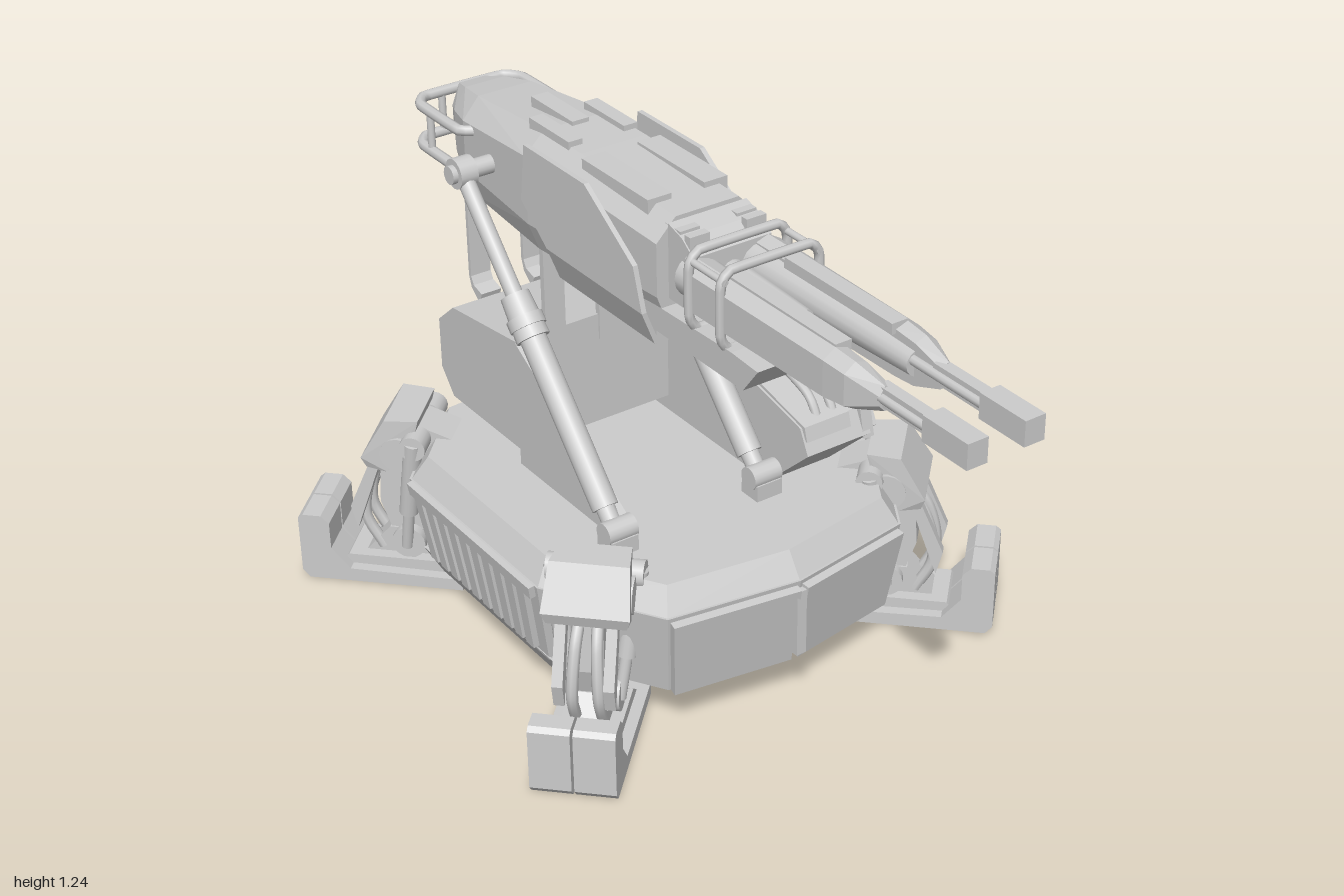
import * as THREE from 'three';
import { ConvexGeometry } from 'three/addons/geometries/ConvexGeometry.js';

const flat = new THREE.MeshStandardMaterial({ color: 0xcccccc, flatShading: true });
const smooth = new THREE.MeshStandardMaterial({ color: 0xcccccc });
const V = (x, y, z) => new THREE.Vector3(x, y, z);

function add(parent, name, geo, mat = flat) {
  const m = new THREE.Mesh(geo, mat);
  m.name = name;
  parent.add(m);
  return m;
}
// box given by its limits
function box(p, name, x0, x1, y0, y1, z0, z1) {
  add(p, name, new THREE.BoxGeometry(x1 - x0, y1 - y0, z1 - z0))
    .position.set((x0 + x1) / 2, (y0 + y1) / 2, (z0 + z1) / 2);
}
// side profile of [z, y] points, extruded from x0 to x1
function side(p, name, pts, x0, x1) {
  const s = new THREE.Shape(pts.map(([z, y]) => new THREE.Vector2(z, y)));
  const g = new THREE.ExtrudeGeometry(s, { depth: x1 - x0, bevelEnabled: false });
  g.rotateY(-Math.PI / 2).translate(x1, 0, 0);
  add(p, name, g);
}
// round bar between two points
function rod(p, name, a, b, r0, r1 = r0, seg = 16) {
  const d = b.clone().sub(a);
  const m = add(p, name, new THREE.CylinderGeometry(r1, r0, d.length(), seg), smooth);
  m.position.copy(a).addScaledVector(d, 0.5);
  m.quaternion.setFromUnitVectors(V(0, 1, 0), d.normalize());
}
function tube(p, name, pts, r, closed = false, tension = 0.15) {
  const c = new THREE.CatmullRomCurve3(pts, closed, 'catmullrom', tension);
  add(p, name, new THREE.TubeGeometry(c, pts.length * 6, r, 8, closed), smooth);
}
const hull = (p, name, pts) => add(p, name, new ConvexGeometry(pts));

function buildBase(g) {
  const half = [[0.325, 0.2], [0.36, 0.07], [0.49, -0.07], [0.49, -0.63], [0.32, -0.81]];
  const ring = [[0, 0.25], ...half, [0, -0.84], ...half.map(([x, z]) => [-x, z]).reverse()];
  const level = (y, k) => ring.map(([x, z]) => V(x * k, y, -0.3 + (z + 0.3) * k));
  const low = level(0.12, 0.93), mid = level(0.34, 1);
  hull(g, 'hull', [...low, ...mid]);
  hull(g, 'deck', [...level(0.34, 0.99), ...level(0.4, 0.92)]);
  // raised plate on one hull face, u along the face and v upwards
  const panel = (name, i, u0, u1, v0, v1, t) => {
    const j = (i + 1) % ring.length;
    const at = (u, v) => low[i].clone().lerp(low[j], u).lerp(mid[i].clone().lerp(mid[j], u), v);
    const q = [at(u0, v0), at(u1, v0), at(u1, v1), at(u0, v1)];
    const n = q[1].clone().sub(q[0]).cross(q[3].clone().sub(q[0])).normalize();
    if (n.dot(V(q[0].x, 0, q[0].z + 0.3)) < 0) n.negate();
    hull(g, name, [...q, ...q.map(c => c.clone().addScaledVector(n, t))]);
  };
  for (const i of [0, 11]) panel('frontPlate', i, 0.02, 0.98, 0, 0.95, 0.02);
  for (const i of [5, 6]) { // framed rear panels
    panel('rearFrame', i, 0.02, 0.98, 0.85, 1, 0.02);
    panel('rearFrame', i, 0.02, 0.98, 0, 0.15, 0.02);
    const outer = i === 5 ? [0.02, 0.1] : [0.9, 0.98];
    panel('rearFrame', i, ...outer, 0.1, 0.9, 0.02);
  }
  // plain left side, slatted right side
  panel('sidePlate', 3, 0.02, 0.98, 0, 0.95, 0.012);
  for (let k = 0; k < 10; k++) panel('sideSlat', 8, 0.06 + k * 0.09, 0.12 + k * 0.09, 0.1, 0.88, 0.015);
  panel('sideRail', 8, 0.02, 0.98, 0.86, 1, 0.015);
  for (const s of [-1, 1]) hull(g, 'sideSkirt', [-0.06, -0.64].flatMap(z =>
    [V(s * 0.46, 0.13, z), V(s * 0.38, 0.13, z), V(s * 0.41, 0.04, z), V(s * 0.38, 0.04, z)]));
  box(g, 'frontLatch', -0.018, 0.008, 0.15, 0.32, 0.2, 0.262);
}

function buildBody(g) {
  side(g, 'rearBlock', [[-0.45, 0.44], [-0.45, 0.725], [-0.73, 0.69], [-0.8, 0.63], [-0.8, 0.5], [-0.75, 0.44]], -0.29, 0.3);
  side(g, 'leftWall', [[0, 0.4], [0, 0.45], [-0.45, 0.72], [-0.45, 0.4]], -0.29, -0.27);
  const prof = [[-0.05, 0.4], [0.1, 0.54], [0.07, 0.6], [-0.45, 0.715], [-0.72, 0.68], [-0.8, 0.62], [-0.8, 0.51], [-0.65, 0.36]];
  side(g, 'console', prof, 0.13, 0.31);
  side(g, 'consoleCover', prof.map(([z, y]) => [-0.33 + (z + 0.33) * 0.95, 0.54 + (y - 0.54) * 0.93]), 0.3, 0.345);
  side(g, 'consoleRim', [[0.1, 0.53], [0.08, 0.62], [-0.43, 0.73], [-0.72, 0.7], [-0.72, 0.67], [-0.43, 0.7], [0.06, 0.58]], 0.29, 0.32);
  side(g, 'consolePanel', [[0.09, 0.57], [0.08, 0.605], [-0.46, 0.725], [-0.46, 0.7]], 0.135, 0.26);
  for (const x of [0.19, 0.235])
    tube(g, 'consoleHose', [V(x, 0.59, 0.06), V(x, 0.65, 0.01), V(x, 0.7, -0.18), V(x, 0.735, -0.36), V(x, 0.7, -0.4)], 0.011, false, 0.4);
  // drum on the back
  box(g, 'drumMount', 0.03, 0.22, 0.54, 0.625, -0.835, -0.79);
  rod(g, 'rearDrum', V(0.02, 0.585, -0.82), V(0.23, 0.585, -0.82), 0.042);
  // straps up to the gun
  for (const x of [-0.183, -0.037]) {
    box(g, 'frontStrap', x - 0.027, x + 0.027, 0.66, 0.97, -0.46, -0.445);
    side(g, 'rearStrap', [[-0.775, 0.97], [-0.785, 0.97], [-0.785, 0.73], [-0.775, 0.7], [-0.74, 0.67], [-0.73, 0.7], [-0.765, 0.71], [-0.775, 0.73]], x - 0.027, x + 0.027);
  }
}

function buildPistons(g) {
  const top = V(0, 1.09, -0.62), foot = V(0, 0.43, -0.02);
  for (const [x, s] of [[-0.305, -1], [0.091, 1]]) {
    const at = t => foot.clone().lerp(top, t).setX(x);
    rod(g, 'pistonRod', at(0.55), at(1), 0.02);
    rod(g, 'pistonCollar', at(0.54), at(0.66), 0.04, 0.034);
    rod(g, 'pistonCollarRing', at(0.57), at(0.6), 0.043);
    rod(g, 'pistonBarrel', at(0.08), at(0.56), 0.031);
    rod(g, 'pistonEnd', at(0), at(0.1), 0.022);
    rod(g, 'pistonPin', V(x - 0.038, 0.45, -0.02), V(x + 0.038, 0.45, -0.02), 0.028);
    box(g, 'pistonBracket', x - 0.035, x + 0.035, 0.38, 0.44, -0.05, 0.01);
    rod(g, 'trunnion', V(x - s * 0.12, 1.09, -0.62), V(x + s * 0.035, 1.09, -0.62), 0.022);
    rod(g, 'trunnionCap', V(x - 0.022, 1.09, -0.62), V(x + 0.022, 1.09, -0.62), 0.036);
  }
}

function buildGun(g) {
  // housing from cross-sections: z, half width, top, bottom
  const sections = [[0.05, 0.13, 1.215, 0.97], [-0.3, 0.135, 1.225, 0.95], [-0.45, 0.135, 1.225, 0.94], [-0.75, 0.115, 1.195, 0.95], [-0.84, 0.085, 1.18, 0.96], [-0.9, 0.055, 1.165, 1.02]];
  hull(g, 'housing', sections.flatMap(([z, w, t, b]) => [-1, 1].flatMap(s =>
    [V(s * w * 0.62, t, z), V(s * w, t - 0.05, z), V(s * w, b + 0.07, z), V(s * w * 0.8, b, z)])));
  side(g, 'noseBlock', [[0.05, 1.03], [0.05, 1.205], [0.1, 1.19], [0.14, 1.16], [0.14, 1.03]], -0.1, 0.1);
  side(g, 'frontTray', [[0.39, 1.015], [0.34, 0.95], [-0.3, 0.95], [-0.3, 1.0], [0.3, 1.02]], -0.12, 0.12);
  // side wings joined under the gun
  for (const s of [-1, 1]) {
    const x = s * 0.15;
    side(g, 'sideWing', [[0.03, 1.0], [-0.34, 1.0], [-0.44, 1.08], [-0.42, 1.22], [-0.18, 1.22], [0.0, 1.1]], x - 0.006, x + 0.006);
    hull(g, 'wingLower', [0.03, -0.34].flatMap(z => [V(s * 0.156, 1.0, z), V(s * 0.144, 1.0, z), V(s * 0.125, 0.92, z), V(s * 0.113, 0.92, z)]));
  }
  box(g, 'bellyPlate', -0.12, 0.12, 0.918, 0.95, -0.34, 0.03);
  // top plates and vents
  box(g, 'topVent', -0.022, 0.022, 1.19, 1.235, -0.6, -0.43);
  for (const s of [-1, 1]) {
    const x = s * 0.072;
    box(g, 'topPlate', x - 0.03, x + 0.03, 1.19, 1.23, -0.27, -0.02);
    box(g, 'topRib', x - 0.018, x + 0.018, 1.2, 1.238, -0.5, -0.34);
    for (let k = 0; k < 4; k++) box(g, 'noseRib', x - 0.025, x + 0.025, 1.15, 1.2, 0.0 + k * 0.035, 0.02 + k * 0.035);
  }
  box(g, 'rearWindow', -0.04, 0.04, 1.06, 1.12, -0.915, -0.88);
  // twin barrels
  for (const s of [-1, 1]) {
    const x = s * 0.07;
    rod(g, 'barrelSleeve', V(x, 1.1, 0.1), V(x, 1.1, 0.66), 0.05, 0.03);
    hull(g, 'barrelShroud', [[0.14, 0.055, 1.16, 1.04], [0.6, 0.05, 1.16, 1.045], [0.66, 0.045, 1.155, 1.05], [0.74, 0.022, 1.135, 1.08]].flatMap(([z, w, t, b]) =>
      [V(x + s * w, t - 0.02, z), V(x + s * w, b + 0.015, z), V(x + s * w * 0.4, t, z), V(x + s * w * 0.4, b, z), V(x - s * 0.01, t - 0.01, z), V(x - s * 0.01, b, z)]));
    for (const d of [-0.013, 0.013]) rod(g, 'barrel', V(x + d, 1.11, 0.6), V(x + d, 1.11, 0.9), 0.011, 0.011, 10);
    box(g, 'barrelSpine', x - 0.02, x + 0.02, 1.14, 1.165, 0.25, 0.6);
    box(g, 'muzzle', x - 0.025, x + 0.025, 1.083, 1.14, 0.87, 1.0);
    box(g, 'muzzleNeck', x - 0.014, x + 0.014, 1.09, 1.132, 0.72, 0.88);
  }
  rod(g, 'centreProbe', V(0, 1.1, 0.1), V(0, 1.1, 0.39), 0.03, 0.02, 12);
  // hoops round the barrels
  for (const z of [0.16, 0.27])
    tube(g, 'barrelHoop', [[-0.1, 1.01], [0.1, 1.01], [0.125, 1.04], [0.125, 1.16], [0.1, 1.19], [-0.1, 1.19], [-0.125, 1.16], [-0.125, 1.04]].map(([x, y]) => V(x, y, z)), 0.011, true);
  for (const s of [-1, 1]) rod(g, 'hoopLink', V(s * 0.12, 1.17, 0.15), V(s * 0.12, 1.17, 0.28), 0.008);
  // rear guard rails
  for (const y of [1.035, 1.135])
    tube(g, 'rearRail', [V(-0.1, y, -0.7), V(-0.138, y, -0.73), V(-0.138, y, -0.9), V(-0.105, y, -0.94), V(0.105, y, -0.94), V(0.138, y, -0.9), V(0.138, y, -0.73), V(0.1, y, -0.7)], 0.013);
  for (const s of [-1, 1]) for (const [x, z] of [[0.138, -0.86], [0.06, -0.94]])
    rod(g, 'railPost', V(s * x, 1.03, z), V(s * x, 1.14, z), 0.009);
}

// one leg, pointing along +z
function buildLeg(g) {
  for (const s of [-1, 1]) {
    const x0 = s < 0 ? -0.097 : 0.003;
    side(g, 'foot', [[0.43, 0], [0.815, 0], [0.832, 0.02], [0.832, 0.17], [0.82, 0.18], [0.775, 0.18], [0.755, 0.16], [0.755, 0.09], [0.71, 0.035], [0.43, 0.03]], x0, x0 + 0.094);
  }
  side(g, 'footRidge', [[0.46, 0.03], [0.5, 0.06], [0.72, 0.06], [0.74, 0.03]], -0.07, 0.07);
  side(g, 'ankleMount', [[0.49, 0.05], [0.54, 0.13], [0.62, 0.13], [0.69, 0.05]], -0.04, 0.04);
  rod(g, 'anklePin', V(-0.06, 0.1, 0.57), V(0.06, 0.1, 0.57), 0.042);
  // shin and knee
  side(g, 'shin', [[0.53, 0.1], [0.6, 0.08], [0.64, 0.2], [0.63, 0.37], [0.55, 0.4], [0.55, 0.25]], -0.035, 0.035);
  rod(g, 'kneePin', V(-0.095, 0.37, 0.57), V(0.095, 0.37, 0.57), 0.045);
  side(g, 'hipArm', [[0.34, 0.2], [0.34, 0.36], [0.53, 0.43], [0.59, 0.35], [0.49, 0.26]], -0.05, 0.05);
  // armour over the knee
  hull(g, 'kneeArmour', [[0.52, 0.46, 0.08], [0.6, 0.46, 0.09], [0.66, 0.36, 0.1], [0.65, 0.33, 0.09], [0.6, 0.32, 0.09], [0.53, 0.42, 0.08]].flatMap(([z, y, w]) => [V(-w, y, z), V(w, y, z)]));
  for (const s of [-1, 1]) {
    rod(g, 'legDamper', V(s * 0.095, 0.41, 0.53), V(s * 0.07, 0.2, 0.56), 0.023);
    rod(g, 'legDamperRod', V(s * 0.07, 0.2, 0.56), V(s * 0.055, 0.09, 0.575), 0.014);
    // slanted shin guards with hoses tucked behind
    hull(g, 'shinGuard', [[0.62, 0.34], [0.645, 0.34], [0.68, 0.2], [0.705, 0.2], [0.69, 0.14]].flatMap(([z, y]) => [V(s * 0.07, y, z), V(s * 0.045, y, z)]));
    tube(g, 'legHose', [V(s * 0.02, 0.34, 0.61), V(s * 0.025, 0.27, 0.66), V(s * 0.03, 0.16, 0.68), V(s * 0.03, 0.07, 0.64)], 0.014, false, 0.5);
    rod(g, 'hipBolt', V(s * 0.05, 0.4, 0.53), V(s * 0.11, 0.4, 0.53), 0.032);
  }
}

export function createModel() {
  const root = new THREE.Group();
  const part = (name, build, x = 0, z = 0, turn = 0) => {
    const g = new THREE.Group();
    g.name = name;
    build(g);
    g.position.set(x, 0, z);
    g.rotation.y = turn;
    root.add(g);
  };
  part('base', buildBase);
  part('body', buildBody);
  part('pistons', buildPistons);
  part('gun', buildGun, -0.107);
  for (const k of [1, 3, 5, 7]) part('leg', buildLeg, k < 4 ? 0.015 : -0.015, -0.355, k * Math.PI / 4);
  return root;
}
